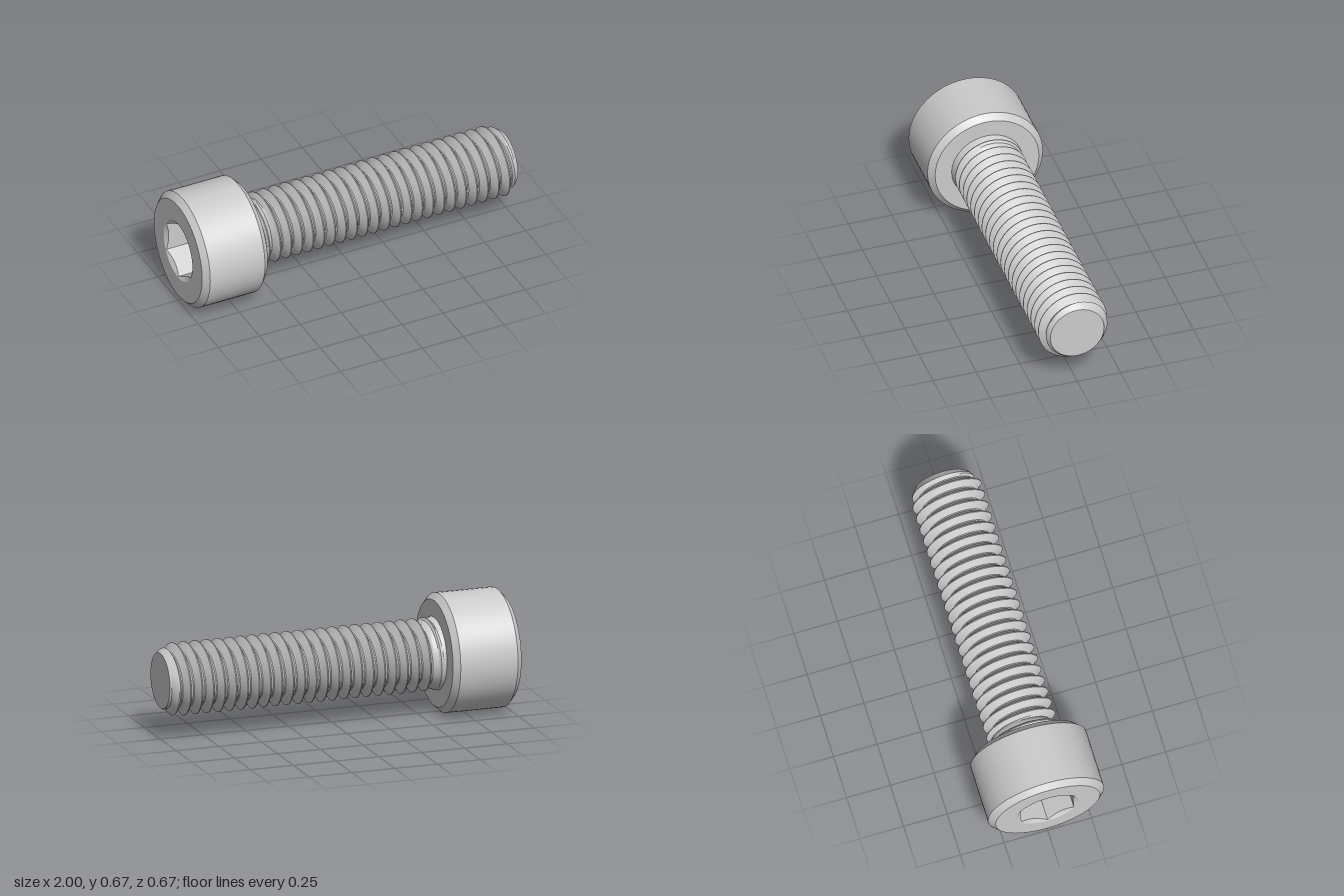
import * as THREE from 'three';
import { toCreasedNormals } from 'three/addons/utils/BufferGeometryUtils.js';

const SIDES = 48, AXIS_Y = 0.3325, TURN = Math.PI * 2;
const HEAD_X = -0.6, TIP_X = 1, PITCH = 0.0667, MINOR = 0.157, MAJOR = 0.202;
const clamp = THREE.MathUtils.clamp;

// Skin closed rings around the x axis; each ring maps an angle to [x, radius].
function loft(rings) {
  const pos = [], index = [], cols = SIDES + 1;
  for (const ring of rings) {
    for (let j = 0; j < cols; j++) {
      const a = ((j % SIDES) / SIDES) * TURN;
      const [x, r] = ring(a, (j / SIDES) * TURN);
      pos.push(x, AXIS_Y + r * Math.cos(a), r * Math.sin(a));
    }
  }
  const p = (i) => new THREE.Vector3().fromArray(pos, i * 3);
  const tri = (a, b, c) => {
    if (new THREE.Triangle(p(a), p(b), p(c)).getArea() > 1e-9) index.push(a, b, c);
  };
  for (let i = 0; i < rings.length - 1; i++) {
    for (let j = 0; j < SIDES; j++) {
      const a = i * cols + j, c = a + cols;
      tri(a, a + 1, c);
      tri(a + 1, c + 1, c);
    }
  }
  const geo = new THREE.BufferGeometry();
  geo.setAttribute('position', new THREE.Float32BufferAttribute(pos, 3));
  geo.setIndex(index);
  return toCreasedNormals(geo, 0.5);
}

const circle = (x, r) => () => [x, r];

// Hexagon with corners up and down, flats to the front and back.
const hexRadius = (a) => 0.15 / Math.cos((a % (Math.PI / 3)) - Math.PI / 6);

// Shank radius: V thread, swollen neck under the head, chamfered tip.
function shankRadius(x, a) {
  const t = (x - 0.978) / PITCH - a / TURN;
  const crest = Math.abs(t - Math.floor(t) - 0.5) * 2;
  const thread = MINOR + (MAJOR - MINOR) * clamp((crest - 0.1) / 0.82, 0, 1);
  const s = x - HEAD_X;
  const neck = s < 0.07 ? 0.204 - s * 0.3 : 0.183 - (s - 0.07);
  return Math.min(Math.max(thread, neck), 0.155 + 0.77 * (TIP_X - x));
}

function shankRings() {
  const rings = [];
  // Rows follow the helix so that crests and roots stay crisp.
  const steps = [-0.04, 0.04, 0.17, 0.31, 0.45, 0.55, 0.69, 0.83];
  for (let m = -26; m <= 2; m++) {
    for (const t of steps) {
      rings.push((a, sweep) => {
        const x = clamp(0.978 + PITCH * (m + t + sweep / TURN), HEAD_X, TIP_X);
        return [x, shankRadius(x, a)];
      });
    }
  }
  rings.push(circle(TIP_X, 0)); // flat end
  return rings;
}

export function createModel() {
  const group = new THREE.Group();
  group.name = 'socketHeadScrew';
  const material = new THREE.MeshStandardMaterial({ color: 0xcccccc });
  const add = (name, rings) => {
    const mesh = new THREE.Mesh(loft(rings), material);
    mesh.name = name;
    group.add(mesh);
  };

  // Head: socket floor, hex walls, countersink, face, chamfered rim, underside
  add('head', [
    circle(-0.8, 0),
    (a) => [-0.8, hexRadius(a)],
    (a) => [-1 + (0.178 - hexRadius(a)) * 0.6, hexRadius(a)],
    circle(-1, 0.178),
    circle(-1, 0.299),
    circle(-0.967, 0.3325),
    circle(-0.633, 0.3325),
    circle(HEAD_X, 0.299),
    circle(HEAD_X, 0),
  ]);

  add('threadedShank', shankRings());
  return group;
}
